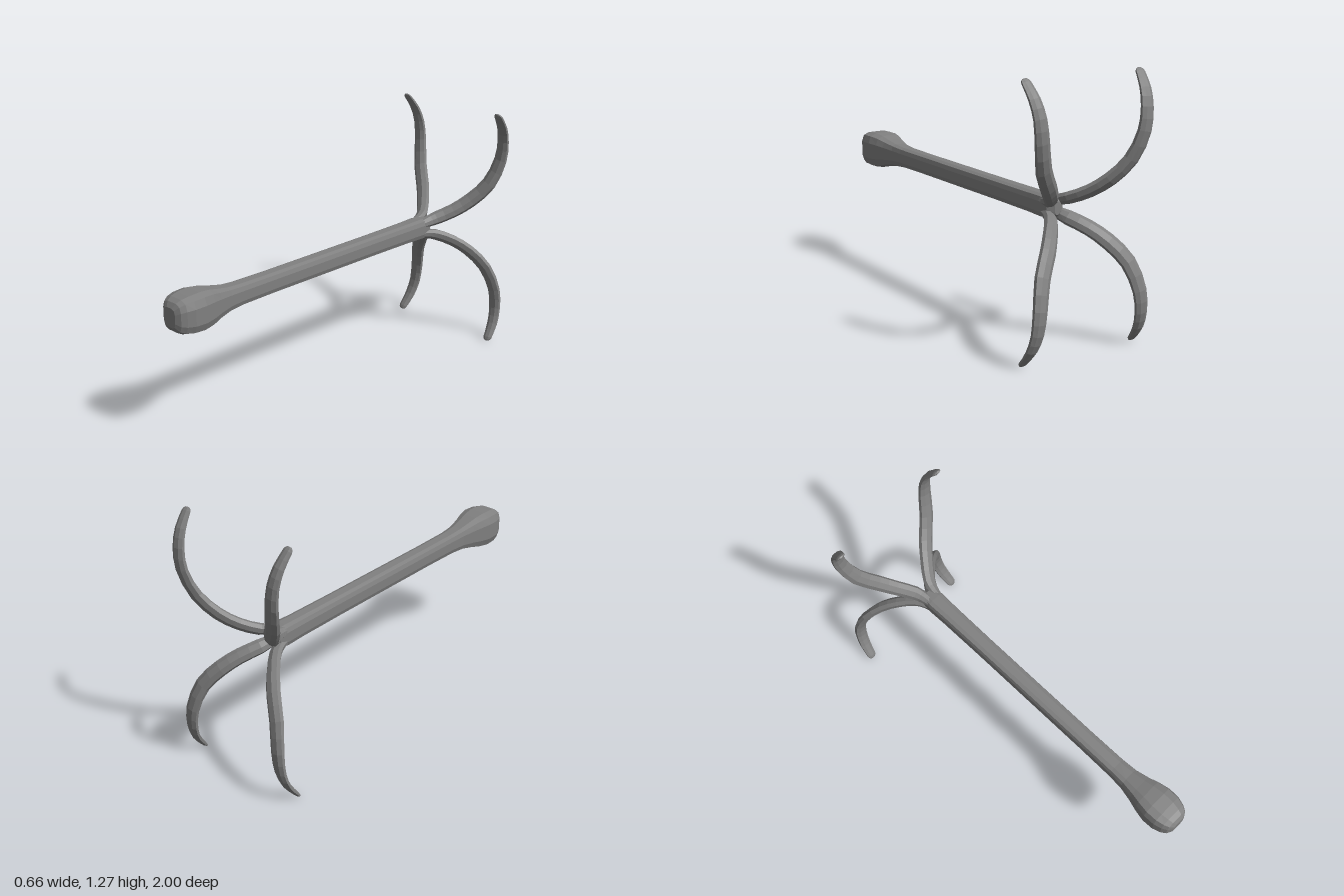
import * as THREE from 'three';

const MID = 0.634; // height of the shaft axis
const material = new THREE.MeshStandardMaterial({ color: 0x808080, flatShading: true });

// Skin a list of rings (equal point counts) and close both ends.
function loft(rings, flip = false) {
  const n = rings[0].length, pos = [], idx = [];
  const tri = (a, b, c) => (flip ? idx.push(a, c, b) : idx.push(a, b, c));
  rings.forEach(r => r.forEach(p => pos.push(p.x, p.y, p.z)));
  for (let i = 0; i < rings.length - 1; i++) {
    for (let j = 0; j < n; j++) {
      const a = i * n + j, b = i * n + (j + 1) % n;
      tri(a, b, b + n);
      tri(a, b + n, a + n);
    }
  }
  const last = rings.length - 1;
  [0, last].forEach(i => {
    const c = new THREE.Vector3();
    rings[i].forEach(p => c.addScaledVector(p, 1 / n));
    const k = pos.length / 3;
    pos.push(c.x, c.y, c.z);
    for (let j = 0; j < n; j++) {
      const a = i * n + j, b = i * n + (j + 1) % n;
      if (i === 0) tri(k, b, a); else tri(k, a, b);
    }
  });
  const g = new THREE.BufferGeometry();
  g.setAttribute('position', new THREE.Float32BufferAttribute(pos, 3));
  g.setIndex(idx);
  g.computeVertexNormals();
  return g;
}

// Square section with softened corners, counter-clockwise
const SQUARE = [];
for (let q = 0; q < 4; q++) {
  for (const [x, y] of [[1, -0.45], [1, 0.45], [0.85, 0.85]]) {
    const c = Math.round(Math.cos(q * Math.PI / 2)), s = Math.round(Math.sin(q * Math.PI / 2));
    SQUARE.push([x * c - y * s, x * s + y * c]);
  }
}

// Shaft and bulbous head: z, half width, half height
function makeShaft() {
  const profile = [
    [-0.728, 0.014, 0.03], [-0.705, 0.046, 0.05], [-0.65, 0.05, 0.054], [-0.55, 0.047, 0.052],
    [-0.3, 0.045, 0.051], [0.4, 0.045, 0.051], [0.6, 0.047, 0.053], [0.68, 0.052, 0.059],
    [0.75, 0.066, 0.073], [0.8, 0.08, 0.086], [0.86, 0.092, 0.093], [0.92, 0.09, 0.09],
    [0.96, 0.078, 0.083], [0.985, 0.063, 0.07], [1.0, 0.038, 0.047],
  ];
  return loft(profile.map(([z, w, h]) =>
    SQUARE.map(([x, y]) => new THREE.Vector3(x * w, MID + y * h, z))));
}

// Prong stations: x, y (from the axis), z, half width, half thickness
const PRONG = [
  [0.022, 0.024, -0.62, 0.016, 0.016], [0.03, 0.032, -0.69, 0.027, 0.022],
  [0.049, 0.046, -0.745, 0.034, 0.025], [0.107, 0.085, -0.82, 0.036, 0.025],
  [0.168, 0.143, -0.885, 0.038, 0.025], [0.238, 0.236, -0.942, 0.038, 0.023],
  [0.277, 0.366, -0.981, 0.035, 0.019], [0.289, 0.47, -0.98, 0.032, 0.016],
  [0.299, 0.55, -0.952, 0.029, 0.014], [0.308, 0.615, -0.905, 0.024, 0.01],
];

function makeProng(sx, sy) {
  const curve = new THREE.CatmullRomCurve3(PRONG.map(p => new THREE.Vector3(p[0], p[1], p[2])));
  const steps = 18, end = PRONG.length - 1, rings = [];
  const ring = (c, t, u, w, h) => {
    // the broad side turns from diagonal at the root to sideways at the tip
    const wide = new THREE.Vector3(1, -Math.max(0, 1 - u * 1.3), 0);
    wide.addScaledVector(t, -wide.dot(t)).normalize();
    const thin = t.clone().cross(wide);
    const out = [];
    for (let j = 0; j < 8; j++) {
      const a = (j + 0.5) * Math.PI / 4;
      const p = c.clone().addScaledVector(wide, w * 1.06 * Math.cos(a)).addScaledVector(thin, h * 1.06 * Math.sin(a));
      out.push(new THREE.Vector3(p.x * sx, MID + p.y * sy, p.z));
    }
    return out;
  };
  for (let i = 0; i <= steps; i++) {
    const u = i / steps, k = Math.min(Math.floor(u * end), end - 1), f = u * end - k;
    const size = m => THREE.MathUtils.lerp(PRONG[k][m], PRONG[k + 1][m], f);
    rings.push(ring(curve.getPoint(u), curve.getTangent(u), u, size(3), size(4)));
  }
  // rounded tip
  const t = curve.getTangent(1);
  for (const [d, w, h] of [[0.012, 0.019, 0.007], [0.019, 0.01, 0.004]]) {
    rings.push(ring(curve.getPoint(1).addScaledVector(t, d), t, 1, w, h));
  }
  return loft(rings, sx * sy < 0);
}

export function createModel() {
  const model = new THREE.Group();
  const add = (name, geometry) => {
    const mesh = new THREE.Mesh(geometry, material);
    mesh.name = name;
    model.add(mesh);
  };
  add('shaftAndHead', makeShaft());
  for (const sx of [1, -1]) {
    for (const sy of [1, -1]) {
      add((sy > 0 ? 'upper' : 'lower') + (sx > 0 ? 'Left' : 'Right') + 'Prong', makeProng(sx, sy));
    }
  }
  return model;
}
